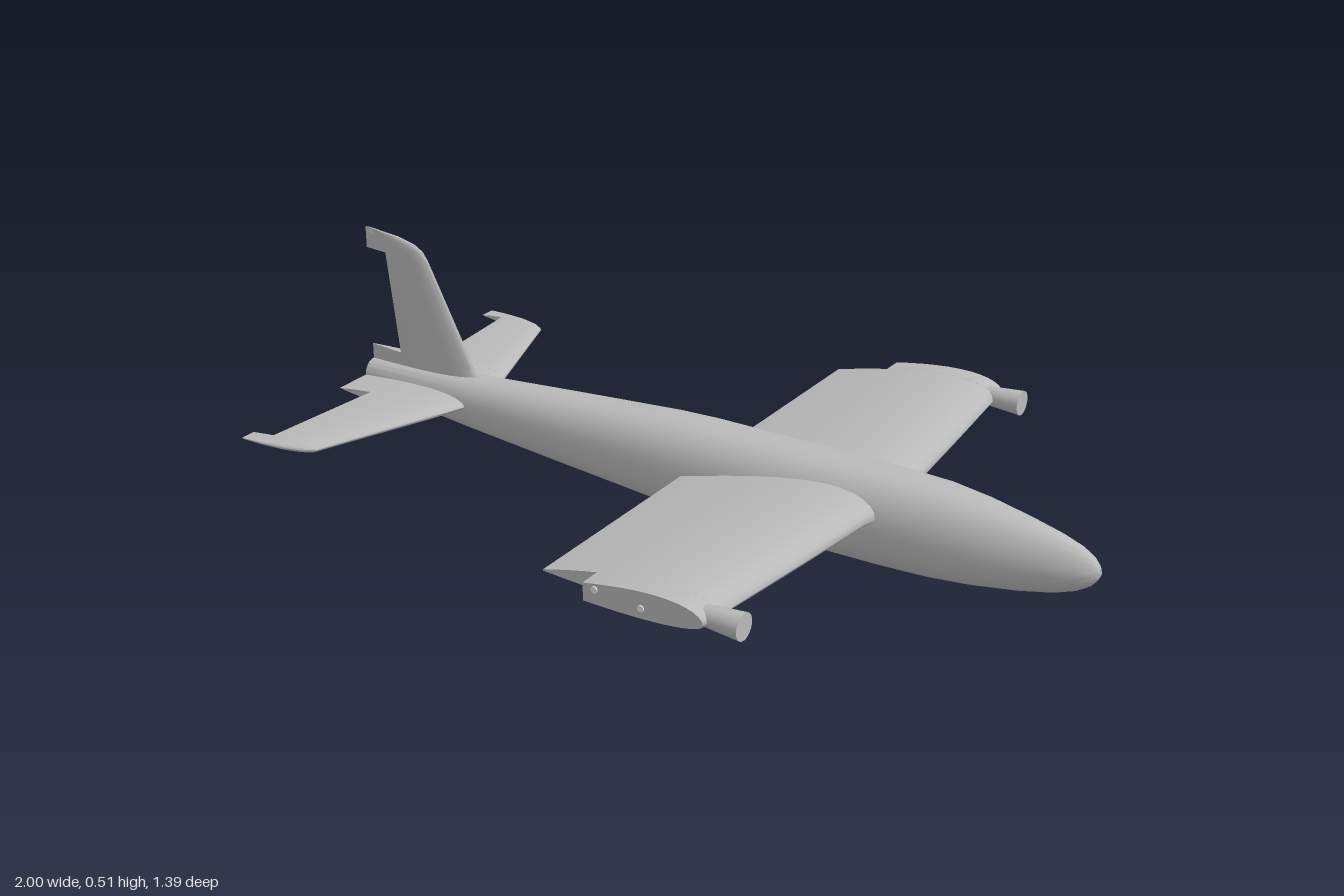
import * as THREE from 'three';
import { toCreasedNormals } from 'three/addons/utils/BufferGeometryUtils.js';

// Skin a row of equal-length closed loops, cap both ends and face it outward.
function loft(loops, crease = 0.8) {
  const n = loops[0].length, pos = [], idx = [];
  loops.forEach(l => l.forEach(p => pos.push(...p)));
  for (let i = 0; i < loops.length - 1; i++)
    for (let j = 0; j < n; j++) {
      const a = i * n + j, b = i * n + (j + 1) % n;
      idx.push(a, b, b + n, a, b + n, a + n);
    }
  const cap = (row, reverse) => {
    const c = pos.length / 3;
    pos.push(...[0, 1, 2].map(k => loops[row].reduce((s, p) => s + p[k], 0) / n));
    for (let j = 0; j < n; j++) {
      const a = row * n + j, b = row * n + (j + 1) % n;
      idx.push(c, reverse ? b : a, reverse ? a : b);
    }
  };
  cap(0, true);
  cap(loops.length - 1, false);
  // signed volume tells which way the corners run
  const v = k => new THREE.Vector3(...pos.slice(k * 3, k * 3 + 3));
  let volume = 0;
  for (let i = 0; i < idx.length; i += 3) volume += v(idx[i]).dot(v(idx[i + 1]).cross(v(idx[i + 2])));
  if (volume < 0) idx.reverse();
  const g = new THREE.BufferGeometry();
  g.setAttribute('position', new THREE.Float32BufferAttribute(pos, 3));
  g.setIndex(idx);
  return toCreasedNormals(g, crease);
}

// Streamlined half-thickness along the chord, peaking at 1.
const foil = c => 2 * (1.4845 * Math.sqrt(c) - 0.63 * c - 1.758 * c * c + 1.4215 * c ** 3 - 0.518 * c ** 4);

// One airfoil loop: nose at lead, ideal tail at tail, cut off at cut. Returns [x, offset].
function airfoil(lead, tail, cut, up, down, steps = 12) {
  const span = (lead - cut) / (lead - tail), top = [], bottom = [];
  for (let i = 0; i <= steps; i++) {
    const c = span * (1 - Math.cos(Math.PI * i / steps / 2));
    const x = lead - c * (lead - tail), f = Math.max(foil(c), 0.02);
    top.push([x, i ? up * f : 0]);
    if (i) bottom.unshift([x, -down * f]);
  }
  return top.concat(bottom);
}

export function createModel() {
  const model = new THREE.Group();
  const grey = new THREE.MeshStandardMaterial({ color: 0xbababa });
  const white = new THREE.MeshStandardMaterial({ color: 0xe6e6e6 });
  const add = (name, geometry, material = grey) => {
    const mesh = new THREE.Mesh(geometry, material);
    mesh.name = name;
    model.add(mesh);
    return mesh;
  };

  // Fuselage stations: x, bottom, top, half width
  const stations = [
    [-1, 0.077, 0.155, 0.036], [-0.66, 0.047, 0.178, 0.064], [-0.4, 0.028, 0.196, 0.083],
    [-0.1, 0.006, 0.216, 0.102], [0, 0.002, 0.219, 0.106], [0.3, 0, 0.219, 0.109], [0.5, 0, 0.219, 0.104],
    [0.62, 0.002, 0.217, 0.096], [0.72, 0.008, 0.207, 0.085], [0.82, 0.02, 0.19, 0.068],
    [0.9, 0.036, 0.173, 0.051], [0.95, 0.053, 0.157, 0.037], [0.98, 0.072, 0.14, 0.023],
    [0.994, 0.09, 0.124, 0.012], [1, 0.104, 0.11, 0.002],
  ];
  add('fuselage', loft(stations.map(([x, low, high, w]) => {
    const loop = [], round = 0.78 + 0.22 * Math.max(0, (x - 0.6) / 0.4);
    for (let j = 0; j < 36; j++) {
      const a = j / 36 * Math.PI * 2, c = Math.cos(a), s = Math.sin(a);
      const soft = v => Math.sign(v) * Math.abs(v) ** round;
      const taper = 1 - 0.13 * Math.max(0, s);
      loop.push([x, (low + high) / 2 + (high - low) / 2 * soft(s), w * soft(c) * taper]);
    }
    return loop;
  }), 0.9));

  for (const side of [1, -1]) {
    const label = side > 0 ? 'left' : 'right';

    // Main wing: span, leading edge, cut-off trailing edge, upper and lower thickness
    const wing = [
      [0, 0.51, 0, 0.052, 0.036], [0.095, 0.505, 0, 0.052, 0.036], [0.125, 0.495, 0, 0.046, 0.034],
      [0.4, 0.467, 0, 0.044, 0.028], [0.64, 0.44, 0, 0.043, 0.022],
      [0.64, 0.44, 0.14, 0.043, 0.022], [0.692, 0.435, 0.14, 0.042, 0.021],
    ];
    add(label + 'Wing', loft(wing.map(([s, lead, cut, up, down]) =>
      airfoil(lead, -0.01, cut, up, down).map(([x, y]) => [x, 0.118 + 0.022 * x / 0.45 + y, side * s]))));

    // Wing tip tube
    const tube = new THREE.CylinderGeometry(0.031, 0.02, 0.13, 28);
    tube.rotateZ(-Math.PI / 2);
    add(label + 'TipTube', tube).position.set(0.443, 0.141, side * 0.653);

    // Small pins in the wing tip
    for (const [x, y] of [[0.17, 0.145], [0.285, 0.135]]) {
      const pin = new THREE.CylinderGeometry(0.008, 0.008, 0.004, 16);
      pin.rotateX(Math.PI / 2);
      add(label + 'TipPin', pin, white).position.set(x, y, side * 0.693);
    }

    // Tailplane with the control surface cut out
    const tailplane = [
      [0, -0.64, -1, 0.02], [0.135, -0.687, -1, 0.019], [0.135, -0.687, -0.9, 0.019],
      [0.45, -0.803, -0.935, 0.012], [0.45, -0.803, -1, 0.012], [0.465, -0.825, -1, 0.009],
      [0.478, -0.865, -1, 0.006], [0.487, -0.925, -1, 0.003], [0.49, -0.985, -1, 0.001],
    ];
    add(label + 'Tailplane', loft(tailplane.map(([s, lead, cut, t]) =>
      airfoil(lead, -1.002, cut, t, t).map(([x, y]) => [x, 0.12 + y, side * s]))));
  }

  // Upright fin with the rudder cut out
  const fin = [
    [0.12, -0.638, -1, 0.019], [0.195, -0.675, -1, 0.017], [0.195, -0.675, -0.9, 0.017],
    [0.455, -0.806, -0.935, 0.01], [0.455, -0.806, -1, 0.01], [0.475, -0.82, -1, 0.009],
    [0.49, -0.845, -1, 0.007], [0.502, -0.895, -1, 0.004], [0.51, -0.98, -1, 0.001],
  ];
  add('fin', loft(fin.map(([y, lead, cut, t]) =>
    airfoil(lead, -1.002, cut, t, t).map(([x, z]) => [x, y, z]))));

  return model;
}
